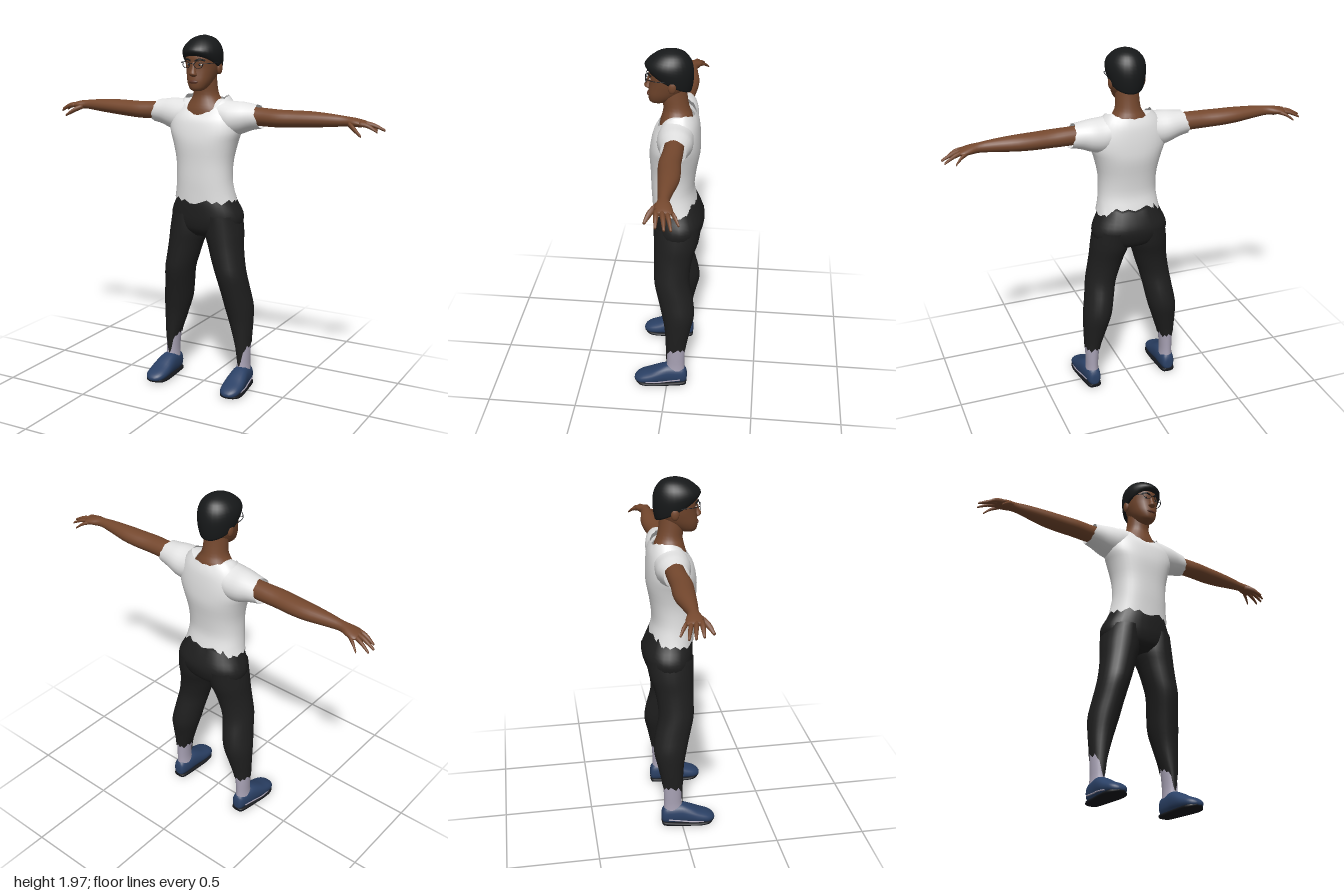
import * as THREE from 'three';

const mat = (name, color, side = THREE.FrontSide) => {
  const m = new THREE.MeshStandardMaterial({ color, side });
  m.name = name;
  return m;
};

// Place (a, position, b) of a cross-section on the world axes
const PLACE = {
  y: (a, p, b) => [a, p, b],
  x: (a, p, b) => [p, b, a],
  z: (a, p, b) => [b, a, p],
};

// Smooth in-between rings (Catmull-Rom on every component)
function refine(rings, steps) {
  const full = rings.map(r => [...r, 0, 0].slice(0, 7));
  const out = [];
  for (let i = 0; i < full.length - 1; i++) {
    const p0 = full[Math.max(i - 1, 0)], p1 = full[i], p2 = full[i + 1], p3 = full[Math.min(i + 2, full.length - 1)];
    for (let k = 0; k < steps; k++) {
      const t = k / steps;
      out.push(p1.map((v, c) => v + 0.5 * t * (p2[c] - p0[c]
        + t * (2 * p0[c] - 5 * v + 4 * p2[c] - p3[c] + t * (3 * (v - p2[c]) + p3[c] - p0[c])))));
    }
  }
  out.push(full[full.length - 1]);
  return out;
}

// Skin over rings [position, aMin, aMax, bMin, bMax, tilt, jag] along an axis, in ascending order
function loft(name, material, rings, { axis = 'y', s = 1, n = 24, steps = 3, power = 1, tilt = c => c, capped = true } = {}) {
  const pos = [], idx = [], rows = refine(rings, steps);
  const bend = v => Math.sign(v) * Math.abs(v) ** power;
  const add = (a, p, b) => { const [x, y, z] = PLACE[axis](a, p, b); pos.push(x * s, y, z); };
  const tri = (a, b, c) => (s > 0 ? idx.push(a, b, c) : idx.push(a, c, b));
  for (const [p, a0, a1, b0, b1, lean, jag] of rows) {
    for (let j = 0; j < n; j++) {
      const t = j / n * Math.PI * 2, c = Math.cos(t);
      add((a0 + a1) / 2 + (a1 - a0) / 2 * bend(Math.sin(t)),
        p + lean * tilt(c) + jag * (((j * 7) % 5) - 2) / 2,
        (b0 + b1) / 2 + (b1 - b0) / 2 * bend(c));
    }
  }
  for (let i = 0; i < rows.length - 1; i++) {
    for (let j = 0; j < n; j++) {
      const k = (j + 1) % n, a = i * n + j, b = i * n + k;
      tri(a, b, a + n);
      tri(b, b + n, a + n);
    }
  }
  if (capped) {
    [0, rows.length - 1].forEach((i, end) => {
      const [p, a0, a1, b0, b1] = rows[i];
      const centre = pos.length / 3;
      add((a0 + a1) / 2, p, (b0 + b1) / 2);
      for (let j = 0; j < n; j++) {
        const a = i * n + j, b = i * n + (j + 1) % n;
        if (end) tri(a, b, centre); else tri(b, a, centre);
      }
    });
  }
  const g = new THREE.BufferGeometry();
  g.setAttribute('position', new THREE.Float32BufferAttribute(pos, 3));
  g.setIndex(idx);
  g.computeVertexNormals();
  const mesh = new THREE.Mesh(g, material);
  mesh.name = name;
  return mesh;
}

export function createModel() {
  const M = {
    skin: mat('skin', 0x75482e),
    shirt: mat('white shirt', 0xe4e4e4, THREE.DoubleSide),
    pants: mat('black trousers', 0x1f1f1f, THREE.DoubleSide),
    hair: mat('black hair', 0x17191a),
    sock: mat('lilac sock', 0xa9a3b6),
    shoe: mat('blue shoe', 0x2b4166),
    sole: mat('dark sole', 0x15171c),
    lips: mat('lips', 0x5c3326),
    eye: mat('eye white', 0xcfc8c0),
  };
  const model = new THREE.Group();
  model.name = 'standingPerson';
  const put = (...a) => model.add(loft(...a));
  const wide = (y, w, z0, z1, ...rest) => [y, -w, w, z0, z1, ...rest];
  const ball = (name, m, x, y, z, rx, ry, rz) => {
    const mesh = new THREE.Mesh(new THREE.SphereGeometry(1, 14, 10), m);
    mesh.position.set(x, y, z);
    mesh.scale.set(rx, ry, rz);
    mesh.name = name;
    model.add(mesh);
  };
  const wire = (name, points, r, m) => {
    const curve = new THREE.CatmullRomCurve3(points.map(p => new THREE.Vector3(...p)));
    const mesh = new THREE.Mesh(new THREE.TubeGeometry(curve, 12, r, 5), m);
    mesh.name = name;
    model.add(mesh);
  };

  // Torso: shirt with a scooped neckline and ragged hem
  put('shirt', M.shirt, [
    wide(1.08, .178, -.15, .1, 0, .013), wide(1.13, .168, -.138, .103), wide(1.2, .16, -.126, .107),
    wide(1.3, .163, -.137, .11), wide(1.4, .186, -.155, .115, .1), wide(1.47, .208, -.157, .11, .2),
    wide(1.54, .2, -.153, .098, .35), wide(1.6, .165, -.145, .085, .7), wide(1.645, .122, -.13, .07, 1, .004),
  ], { n: 36, power: .9, capped: false, tilt: c => -.0375 * c - .0525 * c * c });

  // Neck and upper chest
  put('neck', M.skin, [
    wide(1.5, .15, -.12, .06), wide(1.57, .125, -.115, .06), wide(1.62, .092, -.11, .048),
    wide(1.66, .069, -.095, .042), wide(1.72, .063, -.085, .05), wide(1.78, .06, -.08, .05),
  ]);

  // Head and nose
  put('head', M.skin, [
    wide(1.682, .022, .045, .1), wide(1.695, .043, .01, .115), wide(1.73, .063, -.04, .121),
    wide(1.77, .076, -.08, .117), wide(1.81, .085, -.1, .114), wide(1.86, .089, -.105, .119),
    wide(1.91, .08, -.095, .1), wide(1.945, .045, -.06, .06),
  ], { power: .92 });
  put('nose', M.skin, [
    wide(1.757, .008, .1, .12), wide(1.767, .021, .1, .136), wide(1.778, .018, .1, .141),
    wide(1.80, .011, .1, .13), wide(1.835, .009, .1, .118),
  ], { n: 12 });
  ball('lips', M.lips, 0, 1.732, .117, .027, .01, .01);

  // Hair: short cap, lower at the nape
  put('hair', M.hair, [
    wide(1.812, .095, -.104, .122, 1), wide(1.84, .102, -.113, .134, .75), wide(1.88, .105, -.116, .135, .35),
    wide(1.92, .093, -.103, .113, .1), wide(1.955, .06, -.07, .072), wide(1.972, .015, -.02, .022),
  ], { n: 28, tilt: c => .058 * c });

  // Trousers seat
  put('trouserSeat', M.pants, [
    wide(.875, .09, -.1, .04), wide(.91, .18, -.155, .075), wide(.96, .21, -.178, .09), wide(1.01, .207, -.184, .094),
    wide(1.07, .178, -.165, .094, 0, .004), wide(1.12, .158, -.142, .085, 0, .01),
  ], { power: .9, n: 30 });

  for (const s of [1, -1]) {
    // Face details and glasses
    ball('ear', M.skin, s * .089, 1.80, -.012, .013, .034, .022);
    ball('eye', M.eye, s * .033, 1.822, .104, .013, .006, .007);
    ball('iris', M.sole, s * .033, 1.822, .109, .006, .006, .004);
    wire('eyebrow', [[s * .012, 1.842, .121], [s * .035, 1.85, .117], [s * .06, 1.843, .096]], .005, M.hair);
    const rim = new THREE.Mesh(new THREE.TorusGeometry(.024, .0018, 5, 20), M.sole);
    rim.scale.y = .75;
    rim.rotation.y = s * .2;
    rim.position.set(s * .036, 1.822, .128);
    rim.name = 'glassesRim';
    model.add(rim);
    wire('glassesTemple', [[s * .06, 1.828, .122], [s * .092, 1.83, .08], [s * .096, 1.828, -.01]], .002, M.sole);

    // Sleeve, slanted at the cuff
    put('sleeve', M.shirt, [
      [.08, -.125, .05, 1.47, 1.635], [.15, -.13, .06, 1.44, 1.626], [.21, -.13, .05, 1.45, 1.624],
      [.265, -.12, .035, 1.475, 1.618, .6], [.318, -.108, .025, 1.487, 1.612, 1, .004],
    ], { axis: 'x', s, capped: false, tilt: c => -.016 * c });

    // Arm down to the palm
    put('arm', M.skin, [
      [.2, -.09, .01, 1.505, 1.6], [.33, -.092, .012, 1.5, 1.598], [.43, -.092, .02, 1.5, 1.594],
      [.52, -.1, .012, 1.504, 1.594], [.61, -.1, .003, 1.51, 1.594], [.72, -.083, -.01, 1.52, 1.588],
      [.8, -.075, -.02, 1.528, 1.58], [.85, -.092, -.01, 1.528, 1.574], [.89, -.1, -.012, 1.53, 1.564], [.908, -.09, -.02, 1.537, 1.556],
    ], { axis: 'x', s });

    // Fingers and thumb: [x, y, z, radius] along each
    [
      ['thumb', [.82, 1.545, -.025, .014], [.86, 1.525, .006, .015], [.905, 1.493, .03, .007]],
      ['indexFinger', [.88, 1.548, -.024, .013], [.925, 1.54, -.026, .012], [.972, 1.512, -.028, .006]],
      ['middleFinger', [.88, 1.55, -.047, .013], [.94, 1.542, -.06, .012], [.998, 1.518, -.07, .006]],
      ['ringFinger', [.88, 1.548, -.068, .012], [.935, 1.538, -.085, .011], [.988, 1.512, -.1, .006]],
      ['littleFinger', [.87, 1.545, -.085, .011], [.905, 1.534, -.108, .01], [.938, 1.508, -.13, .005]],
    ].forEach(([name, ...pts]) => put(name, M.skin,
      pts.map(([x, y, z, r]) => [x, z - r, z + r, y - r, y + r]), { axis: 'x', s, n: 10 }));

    // Trouser leg, its hem hanging lower at the front
    put('trouserLeg', M.pants, [
      [.25, .184, .271, -.108, .006, 1, .012], [.3, .167, .274, -.115, .01, .3], [.38, .142, .277, -.132, .018],
      [.47, .115, .276, -.15, .035], [.56, .098, .262, -.14, .056], [.66, .077, .248, -.118, .079],
      [.74, .052, .235, -.12, .082], [.82, .028, .224, -.135, .083], [.9, .003, .217, -.16, .086], [1.0, .008, .2, -.175, .088],
    ], { s, capped: false, tilt: c => -.11 * Math.max(0, c) ** 6 });

    // Sock
    put('sock', M.sock, [
      [.07, .19, .272, -.105, .015], [.13, .196, .266, -.1, .003], [.2, .192, .267, -.101, .001], [.29, .18, .268, -.104, 0],
    ], { s });

    // Shoe upper, side trim and sole
    put('shoe', M.shoe, [
      [-.114, .03, .075, .212, .25], [-.1, .012, .112, .196, .266], [-.05, .008, .125, .188, .276],
      [.0, .008, .13, .184, .284], [.05, .008, .112, .18, .293], [.1, .008, .086, .178, .298],
      [.15, .008, .066, .185, .294], [.178, .012, .05, .203, .276], [.19, .022, .035, .225, .255],
    ], { axis: 'z', s, power: .85 });
    put('sole', M.sole, [
      [-.112, .004, .022, .21, .252], [-.095, 0, .024, .192, .27], [0, 0, .022, .182, .287],
      [.1, 0, .022, .176, .301], [.155, .002, .024, .186, .293], [.187, .012, .026, .222, .257],
    ], { axis: 'z', s, power: .6 });
    wire('shoeTrim', [[s * .293, .028, .12], [s * .296, .034, .06], [s * .285, .038, 0], [s * .272, .045, -.08]], .004, M.sock);
  }
  wire('glassesBridge', [[-.013, 1.826, .132], [0, 1.829, .135], [.013, 1.826, .132]], .002, M.sole);
  return model;
}
